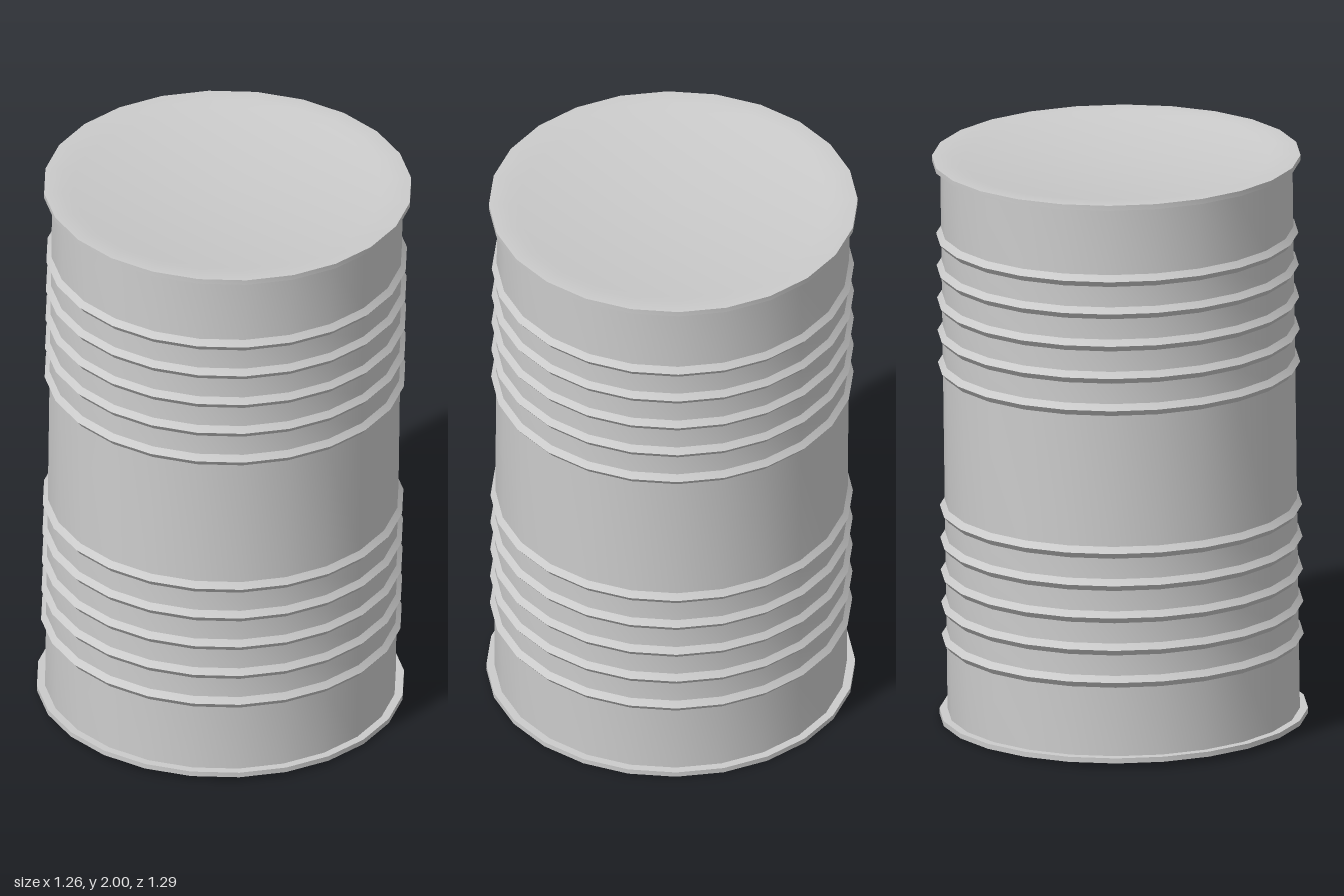
import * as THREE from 'three';
import { toCreasedNormals } from 'three/addons/utils/BufferGeometryUtils.js';

const SIDES = 24;
const HALF = 0.99;        // half of the drum's length along its own axis
const BODY_R = 0.602;
const RIM_R = 0.63;
const RIM_H = 0.018;
const TILT = -0.0155;     // the drum leans slightly backwards

export function createModel() {
  const material = new THREE.MeshStandardMaterial({ color: 0xcccccc });
  const drum = new THREE.Group();
  drum.name = 'drum';

  // Revolve a profile listed from bottom to top, keeping sharp edges
  const revolve = (name, profile) => {
    const points = profile.map(([r, y]) => new THREE.Vector2(r, y));
    const geometry = toCreasedNormals(new THREE.LatheGeometry(points, SIDES), 0.5);
    const mesh = new THREE.Mesh(geometry, material);
    mesh.name = name;
    drum.add(mesh);
  };

  // Wall with two groups of five pointed ribs
  const wall = [[BODY_R, -HALF + RIM_H]];
  for (const start of [-0.708, 0.257]) {
    for (let i = 0; i < 5; i++) {
      const y = start + i * 0.1145;
      wall.push([BODY_R, y - 0.021], [0.619, y], [BODY_R, y + 0.021]);
    }
  }
  wall.push([BODY_R, HALF - RIM_H]);
  revolve('ribbedWall', wall);

  // Flat base with its projecting rim
  revolve('base', [
    [0, -HALF], [RIM_R, -HALF], [RIM_R, -HALF + RIM_H], [BODY_R, -HALF + RIM_H],
  ]);

  // Lid with its projecting rim and a shallow dished centre
  revolve('lid', [
    [BODY_R, HALF - RIM_H], [RIM_R, HALF - RIM_H], [RIM_R, HALF],
    [0.57, HALF], [0.53, HALF - 0.01], [0, HALF - 0.012],
  ]);

  drum.rotation.x = TILT;
  drum.position.y = 1;

  const model = new THREE.Group();
  model.name = 'barrel';
  model.add(drum);
  return model;
}
